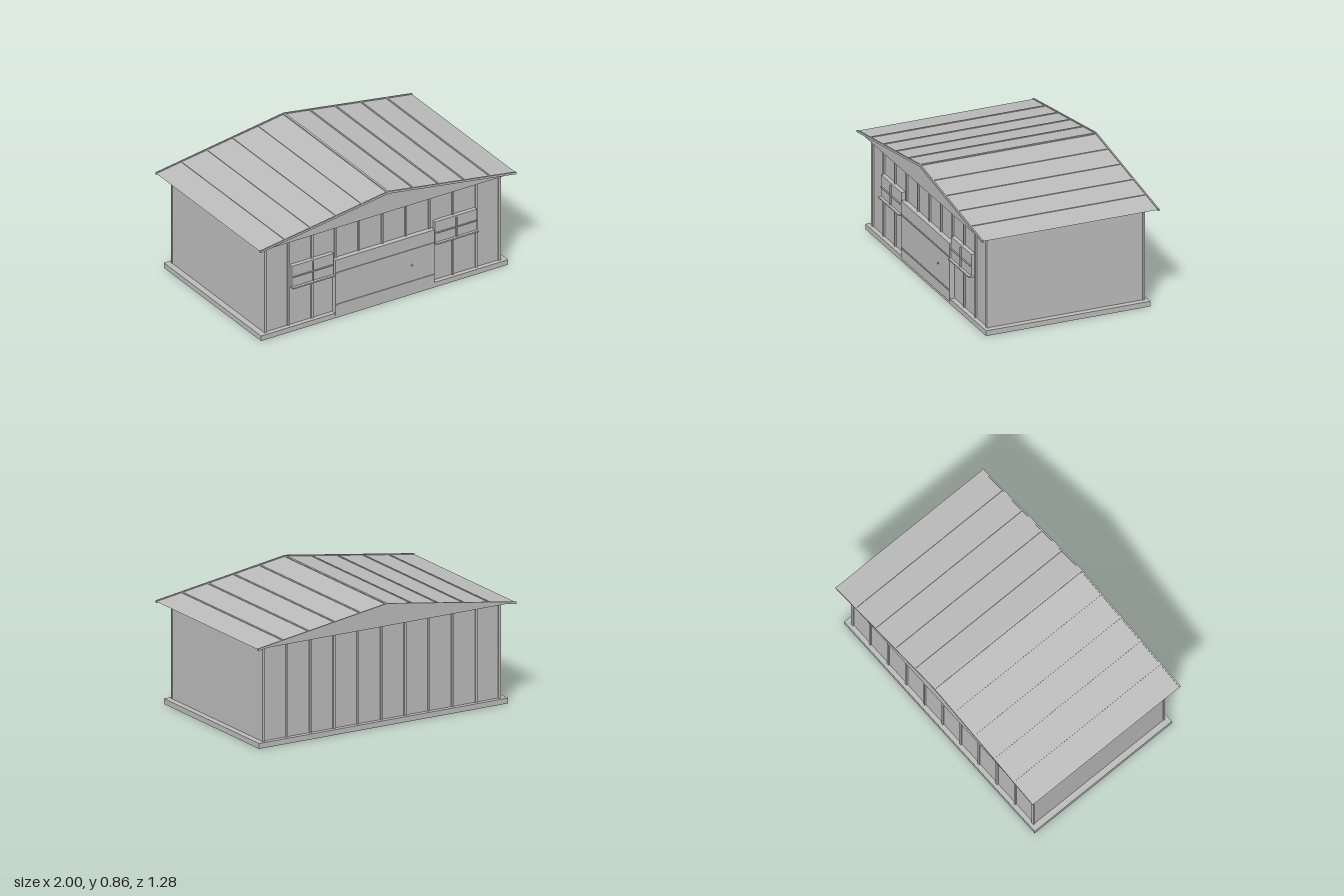
import * as THREE from 'three';

const grey = new THREE.MeshStandardMaterial({ color: 0xbbbbbb });
grey.name = 'plain grey';

export function createModel() {
  const root = new THREE.Group();
  root.name = 'garage';

  // box given by its min and max corners
  const box = (name, x0, x1, y0, y1, z0, z1, parent = root) => {
    const m = new THREE.Mesh(new THREE.BoxGeometry(x1 - x0, y1 - y0, z1 - z0), grey);
    m.position.set((x0 + x1) / 2, (y0 + y1) / 2, (z0 + z1) / 2);
    m.name = name;
    parent.add(m);
    return m;
  };
  // outline in x and y, extruded from z0 to z1
  const slab = (name, pts, z0, z1) => {
    const shape = new THREE.Shape(pts.map(([x, y]) => new THREE.Vector2(x, y)));
    const g = new THREE.ExtrudeGeometry(shape, { depth: z1 - z0, bevelEnabled: false });
    g.translate(0, 0, z0);
    const m = new THREE.Mesh(g, grey);
    m.name = name;
    root.add(m);
  };

  // base and walls
  box('foundation', -0.965, 0.965, 0, 0.037, -0.593, 0.593);
  box('walls', -0.922, 0.922, 0.037, 0.7, -0.56, 0.56);

  // vertical battens and corner boards on front and back
  for (const s of [1, -1]) {
    const z0 = s > 0 ? 0.555 : -0.57;
    for (let i = -4; i <= 4; i++) {
      const x = i * 0.1835;
      box('batten', x - 0.0075, x + 0.0075, 0.037, 0.7, z0, z0 + 0.015);
    }
    for (const c of [-0.915, 0.915]) {
      box('cornerBoard', c - 0.01, c + 0.01, 0.037, 0.7, z0, z0 + 0.015);
    }
  }

  // closed gable roof with raised rake boards at both ends
  slab('roof', [[-1, 0.7], [1, 0.7], [0, 0.85]], -0.632, 0.632);
  const rake = [[-1, 0.691], [0, 0.841], [1, 0.691], [1, 0.706], [0, 0.857], [-1, 0.706]];
  slab('frontRake', rake, 0.63, 0.64);
  slab('backRake', rake, -0.64, -0.63);

  // ridge cap and roof ribs running front to back
  box('ridgeCap', -0.008, 0.008, 0.843, 0.855, -0.63, 0.63);
  for (const s of [1, -1]) {
    for (let i = 1; i <= 4; i++) {
      const x = s * i * 0.2;
      const rib = box('roofRib', x - 0.006, x + 0.006, 0, 0.008, -0.63, 0.63);
      rib.position.y = 0.85 - 0.15 * Math.abs(x) + 0.001;
      rib.rotation.z = -s * Math.atan(0.15);
    }
  }

  // wide door with two board strips and a knob
  const door = new THREE.Group();
  door.name = 'door';
  root.add(door);
  box('doorPanel', -0.388, 0.388, 0.02, 0.435, 0.56, 0.597, door);
  for (const y of [0.1, 0.338]) {
    box('doorStrip', -0.38, 0.38, y - 0.004, y + 0.004, 0.595, 0.602, door);
  }
  const knob = new THREE.Mesh(new THREE.CylinderGeometry(0.006, 0.006, 0.012, 12), grey);
  knob.name = 'doorKnob';
  knob.rotation.x = Math.PI / 2;
  knob.position.set(0.21, 0.224, 0.6);
  door.add(knob);

  // windows beside the door, each with a cross bar and a sill
  for (const s of [1, -1]) {
    const win = new THREE.Group();
    win.name = s > 0 ? 'leftWindow' : 'rightWindow';
    win.position.x = s * 0.56;
    root.add(win);
    box('windowPanel', -0.163, 0.163, 0.33, 0.487, 0.56, 0.59, win);
    box('horizontalBar', -0.155, 0.155, 0.402, 0.408, 0.588, 0.6, win);
    box('verticalBar', -0.003, 0.003, 0.335, 0.478, 0.588, 0.6, win);
    box('windowSill', -0.165, 0.165, 0.323, 0.333, 0.56, 0.61, win);
  }
  return root;
}
